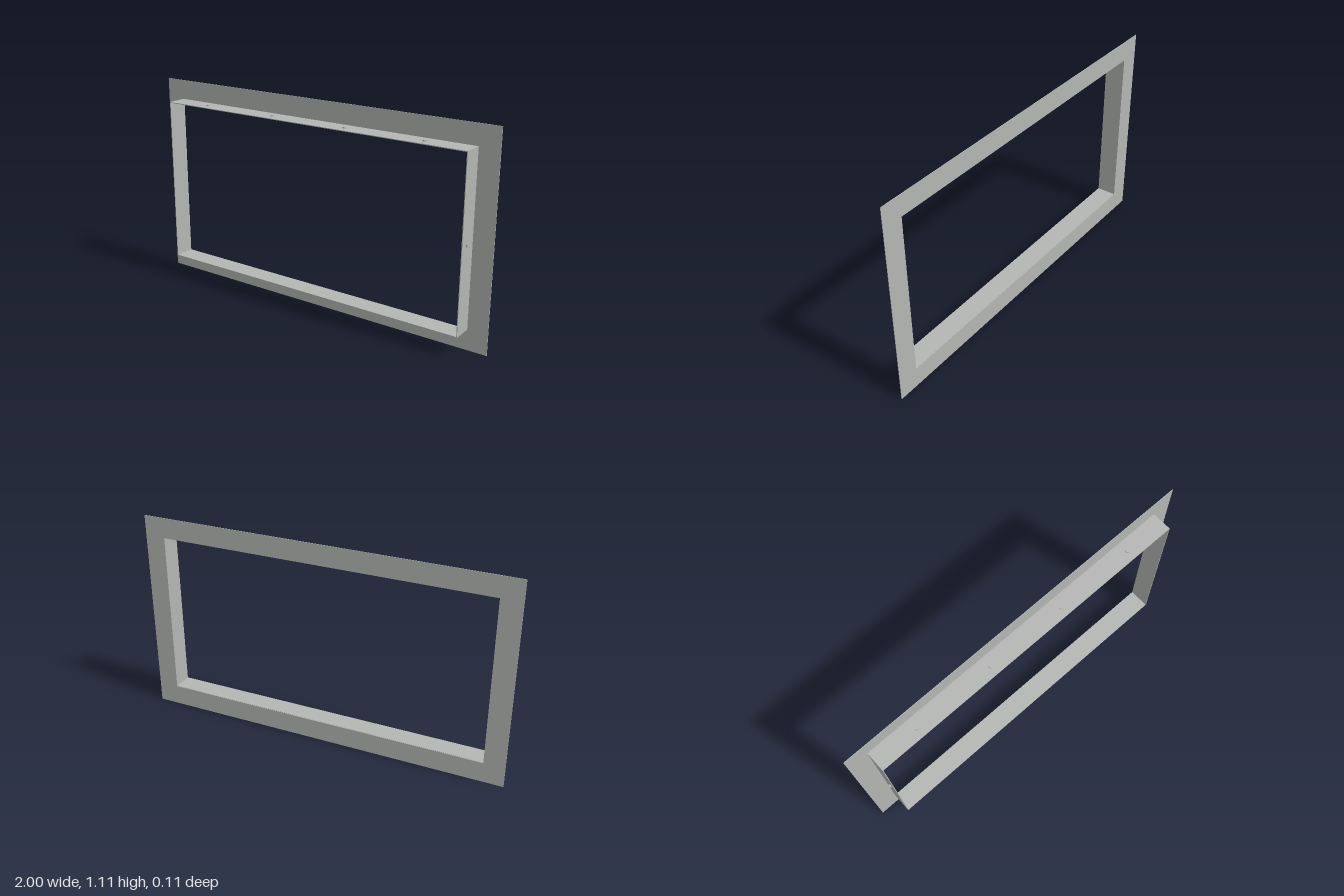
import * as THREE from 'three';

const W = 1, H = 0.555;            // flange half width and half height
const SW = 0.893, SH = 0.449;      // sleeve outer half width and half height
const T = 0.004;                   // sheet thickness
const BACK = -0.055, DEPTH = 0.11;

// Flat rectangular ring extruded along z
function ring(ow, oh, iw, ih, depth) {
  const rect = (P, w, h) => {
    const p = new P();
    p.moveTo(-w, -h).lineTo(w, -h).lineTo(w, h).lineTo(-w, h).closePath();
    return p;
  };
  const shape = rect(THREE.Shape, ow, oh);
  shape.holes.push(rect(THREE.Path, iw, ih));
  return new THREE.ExtrudeGeometry(shape, { depth, bevelEnabled: false });
}

export function createModel() {
  const group = new THREE.Group();
  group.name = 'mountingFrame';
  const metal = new THREE.MeshStandardMaterial({ color: 0xb4b6b4 });
  metal.name = 'grey metal';

  const add = (name, geometry, x, y, z) => {
    const mesh = new THREE.Mesh(geometry, metal);
    mesh.name = name;
    mesh.position.set(x, y, z);
    group.add(mesh);
    return mesh;
  };

  // Thin back flange and the sleeve standing forward from it
  add('flange', ring(W, H, SW - T, SH - T, 0.003), 0, H, BACK);
  add('sleeve', ring(SW, SH, SW - T, SH - T, DEPTH - 0.003), 0, H + 0.001, BACK + 0.003);

  // Small rivets around the outside of the sleeve
  const rivet = new THREE.CylinderGeometry(0.0103, 0.0103, 0.008, 24);
  const out = 0.002;
  for (const side of [-1, 1]) {
    for (const x of [-0.656, -0.219, 0.219, 0.656]) {
      add(side > 0 ? 'topRivet' : 'bottomRivet', rivet, x, H + 0.001 + side * (SH + out), 0.007);
    }
    const r = add(side > 0 ? 'leftRivet' : 'rightRivet', rivet, side * (SW + out), H + 0.001, 0.007);
    r.rotation.z = Math.PI / 2;
  }
  return group;
}
